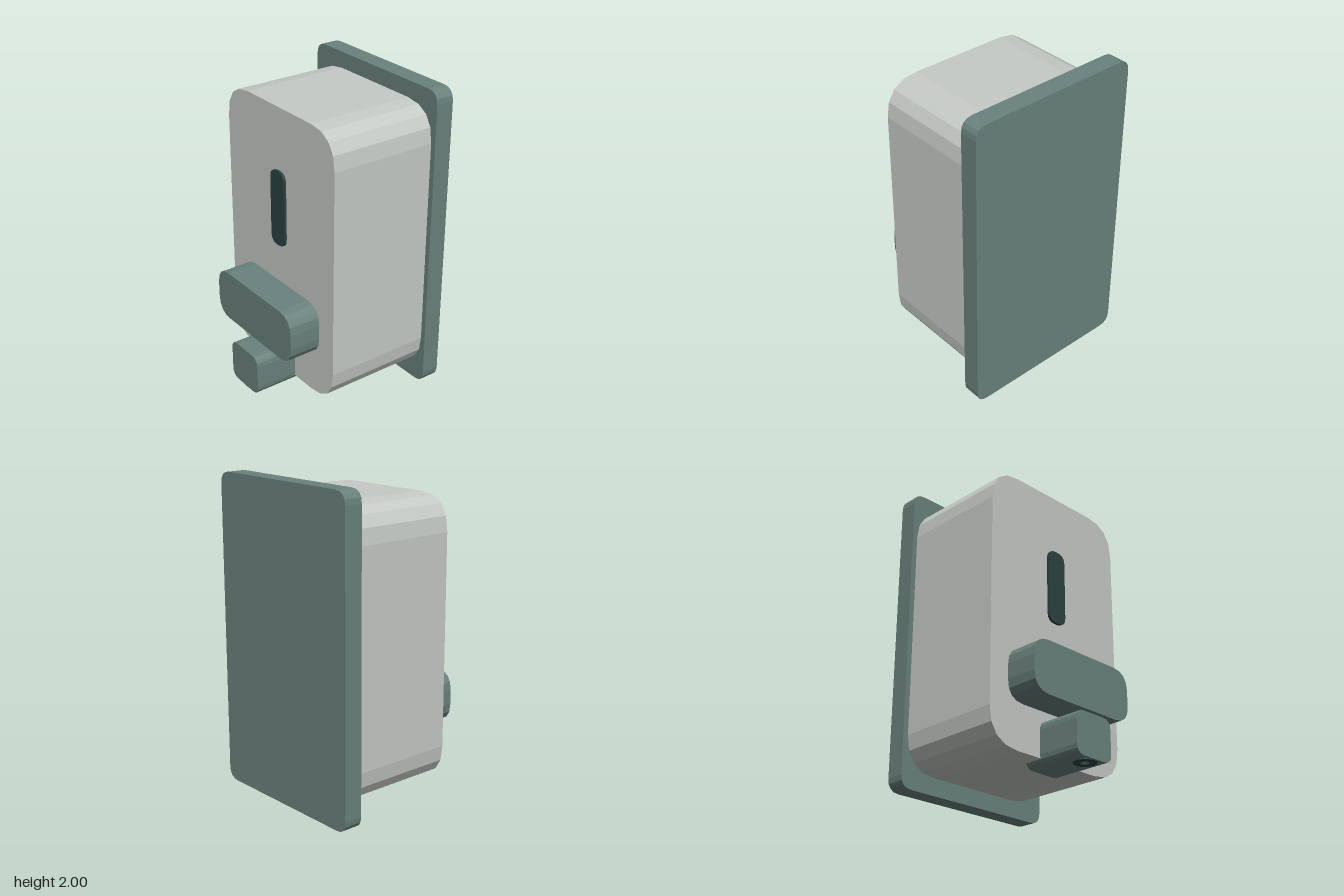
import * as THREE from 'three';

const paint = (name, color) => {
  const m = new THREE.MeshStandardMaterial({ color });
  m.name = name;
  return m;
};

// Rounded rectangle whose corners are quadratic curves
function roundedRect(halfW, y0, y1, r) {
  const s = new THREE.Shape();
  s.moveTo(-halfW + r, y0);
  s.lineTo(halfW - r, y0);
  s.quadraticCurveTo(halfW, y0, halfW, y0 + r);
  s.lineTo(halfW, y1 - r);
  s.quadraticCurveTo(halfW, y1, halfW - r, y1);
  s.lineTo(-halfW + r, y1);
  s.quadraticCurveTo(-halfW, y1, -halfW, y1 - r);
  s.lineTo(-halfW, y0 + r);
  s.quadraticCurveTo(-halfW, y0, -halfW + r, y0);
  return s;
}

export function createModel() {
  const group = new THREE.Group();
  group.name = 'soapDispenser';

  const shell = paint('light grey shell', 0xc6cac6);
  const trim = paint('grey green trim', 0x6a827d);
  const dark = paint('dark green', 0x2b4141);

  // Rounded slab running from z0 (back) to z1 (front)
  const slab = (name, material, halfW, y0, y1, r, z0, z1) => {
    const geometry = new THREE.ExtrudeGeometry(roundedRect(halfW, y0, y1, r), {
      depth: z1 - z0, bevelEnabled: false, curveSegments: 4,
    });
    geometry.translate(0, 0, z0);
    const mesh = new THREE.Mesh(geometry, material);
    mesh.name = name;
    group.add(mesh);
  };

  slab('backPlate', trim, 0.575, 0, 2, 0.08, -0.555, -0.435);
  slab('housing', shell, 0.54, 0.11, 1.895, 0.22, -0.435, 0.27);
  slab('levelWindow', dark, 0.07, 1.0, 1.495, 0.06, 0.265, 0.287);
  slab('pushPad', trim, 0.4, 0.4, 0.735, 0.12, 0.265, 0.48);
  slab('spout', trim, 0.143, 0.072, 0.34, 0.06, 0.155, 0.555);

  // Outlet ring under the spout
  const profile = [[0.028, 0.08], [0.028, 0.065], [0.07, 0.065], [0.07, 0.08]];
  const ring = new THREE.Mesh(
    new THREE.LatheGeometry(profile.map(([x, y]) => new THREE.Vector2(x, y)), 20), dark);
  ring.name = 'outletRing';
  ring.geometry = ring.geometry.toNonIndexed();
  ring.geometry.computeVertexNormals();
  ring.position.z = 0.483;
  group.add(ring);

  return group;
}
